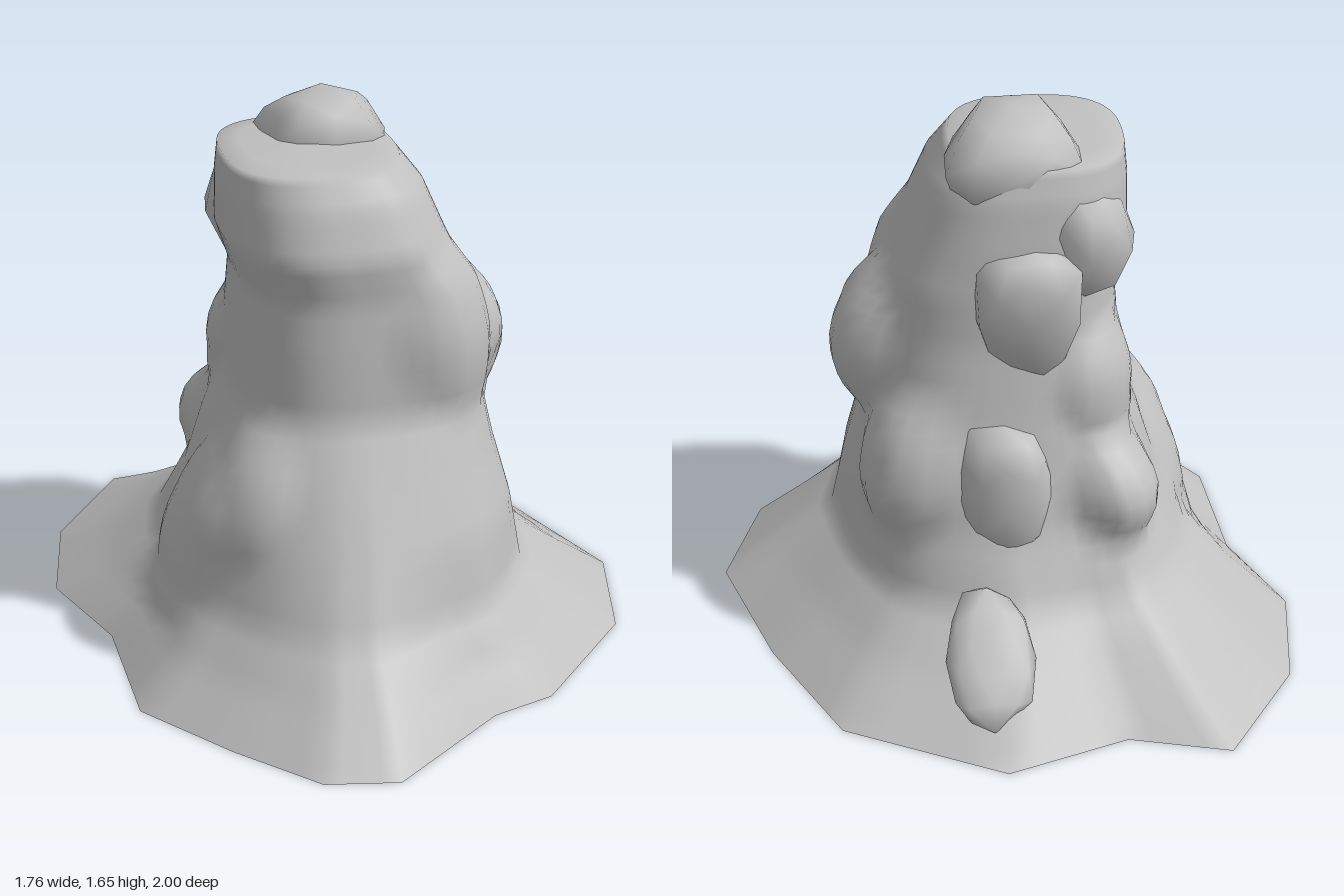
import * as THREE from 'three';
import { mergeVertices } from 'three/addons/utils/BufferGeometryUtils.js';

const stone = new THREE.MeshStandardMaterial({ color: 0xc0c0c0, side: THREE.DoubleSide });
stone.name = 'grey stone';

// Ground outline as x, z pairs
const OUTLINE = [
  [0.05, -1], [0.51, -0.78], [0.72, -0.4], [0.88, 0.03], [0.78, 0.39], [0.45, 0.71],
  [0.26, 0.76], [-0.09, 0.995], [-0.3, 0.95], [-0.51, 0.74], [-0.73, 0.48], [-0.75, 0.06],
  [-0.88, -0.26], [-0.82, -0.62], [-0.59, -0.95], [-0.3, -0.88],
];
// Cross-sections: height, x min, x max, z min, z max, share of the ground outline's irregularity
const RINGS = [
  [0, -0.88, 0.88, -1, 0.995, 1],
  [0.12, -0.72, 0.71, -0.8, 0.85, 0.85],
  [0.25, -0.57, 0.53, -0.62, 0.7, 0.5],
  [0.45, -0.48, 0.485, -0.51, 0.585, 0.2],
  [0.63, -0.42, 0.435, -0.46, 0.485, 0.1],
  [0.8, -0.35, 0.4, -0.42, 0.39, 0],
  [1.0, -0.34, 0.37, -0.38, 0.375, 0],
  [1.15, -0.325, 0.34, -0.37, 0.36, 0],
  [1.28, -0.365, 0.28, -0.36, 0.37, 0],
  [1.42, -0.36, 0.22, -0.335, 0.32, 0],
  [1.51, -0.35, 0.15, -0.3, 0.27, 0],
  [1.53, -0.1, -0.1, -0.05, -0.05, 0],
];
// Swellings of the column: x, y, z, width radius, height radius, push outwards
const BULGES = [
  [0.5, 0.93, -0.06, 0.27, 0.27, 0.16], // left shoulder
  [0.38, 0.64, -0.43, 0.25, 0.24, 0.1], // back left shoulder
  [0.33, 1.03, 0.3, 0.28, 0.27, 0.06], // front left slab
  [-0.52, 0.4, 0.13, 0.24, 0.3, 0.09], // right shoulder
  [-0.4, 0.6, 0.32, 0.2, 0.24, 0.06], // front right shoulder
  [-0.38, 0.58, -0.46, 0.21, 0.2, 0.15], // back right foot
  [-0.31, 0.86, -0.31, 0.2, 0.18, 0.07], // back right shoulder
];
const STEPS = 4; // subdivisions between cross-sections and outline corners

const mix = (a, b, t) => a.map((v, k) => v + (b[k] - v) * t);

function ringPoint([y, x0, x1, z0, z1, wild], [bx, bz]) {
  const a = Math.atan2(bz / 0.995, bx / 0.88);
  const c = Math.cos(a), s = Math.sin(a);
  const power = 2 + 0.7 * (1 - wild); // upper sections are squarer
  const square = Math.pow(Math.abs(c) ** power + Math.abs(s) ** power, -1 / power);
  const ground = Math.hypot(bx / 0.88, bz / 0.995);
  const r = square + wild * (ground - square);
  return [(x0 + x1) / 2 + c * r * (x1 - x0) / 2, y, (z0 + z1) / 2 + s * r * (z1 - z0) / 2];
}

function bulge([x, y, z]) {
  let push = 0;
  for (const [bx, by, bz, r, ry, amount] of BULGES) {
    const d2 = ((x - bx) ** 2 + (z - bz) ** 2) / r ** 2 + ((y - by) / ry) ** 2;
    push += amount * Math.max(0, 1 - d2);
  }
  const length = Math.hypot(x, z) || 1;
  return [x * (1 + push / length), y, z * (1 + push / length)];
}

// Flared column with a flat summit, open underneath
function column() {
  const n = OUTLINE.length * STEPS, rows = (RINGS.length - 1) * STEPS;
  const points = [], index = [];
  for (let r = 0; r <= rows; r++) {
    const k = Math.min(Math.floor(r / STEPS), RINGS.length - 2);
    const ring = mix(RINGS[k], RINGS[k + 1], r / STEPS - k);
    for (let i = 0; i < n; i++) {
      const j = Math.floor(i / STEPS);
      const corner = mix(OUTLINE[j], OUTLINE[(j + 1) % OUTLINE.length], i / STEPS - j);
      points.push(...bulge(ringPoint(ring, corner)));
      const a = r * n + i, b = r * n + (i + 1) % n;
      if (r < rows) index.push(a, a + n, b, b, a + n, b + n);
    }
  }
  const g = new THREE.BufferGeometry();
  g.setAttribute('position', new THREE.Float32BufferAttribute(points, 3));
  g.setIndex(index);
  g.computeVertexNormals();
  const m = new THREE.Mesh(g, stone);
  m.name = 'column';
  return m;
}

// Rock fitted to a box: taper narrows its foot, slope tilts it along z, seed varies its bumps
function rock(name, min, max, taper, slope, seed) {
  let g = new THREE.IcosahedronGeometry(1, 1);
  g.deleteAttribute('normal');
  g.deleteAttribute('uv');
  g = mergeVertices(g, 1e-3);
  const p = g.attributes.position;
  const box = (v) => Math.sign(v) * Math.abs(v) ** 0.8;
  for (let i = 0; i < p.count; i++) {
    const x = p.getX(i), y = p.getY(i), z = p.getZ(i);
    const n = 1 + 0.12 * Math.sin(3.1 * x + seed * 1.7) * Math.cos(2.7 * z - seed)
      + 0.08 * Math.sin(4 * y + seed * 2.3);
    const t = 1 - taper * Math.max(0, -y);
    p.setXYZ(i, box(x) * n * t, box(y) * n, box(z) * n * t);
  }
  g.computeBoundingBox();
  const size = g.boundingBox.getSize(new THREE.Vector3());
  const mid = g.boundingBox.getCenter(new THREE.Vector3());
  g.translate(-mid.x, -mid.y, -mid.z);
  g.scale(...[0, 1, 2].map((k) => (max[k] - min[k]) / size.getComponent(k)));
  for (let i = 0; i < p.count; i++) p.setY(i, p.getY(i) + slope * p.getZ(i));
  g.translate(...[0, 1, 2].map((k) => (max[k] + min[k]) / 2));
  g.computeVertexNormals();
  const m = new THREE.Mesh(g, stone);
  m.name = name;
  return m;
}

export function createModel() {
  const group = new THREE.Group();
  group.name = 'rockSpire';
  group.add(column());

  // Boulders set into the column
  const rocks = [
    ['capRock', [-0.22, 1.36, -0.32], [0.17, 1.65, 0.05], 0, 0.1, 1],
    ['backRockLow', [-0.05, 0.12, -0.9], [0.21, 0.25, -0.55], 0.1, 0.72, 6],
    ['backRockMiddle', [-0.13, 0.37, -0.54], [0.17, 0.78, -0.32], 0.3, 0.15, 7],
    ['backRockHigh', [-0.2, 0.86, -0.45], [0.1, 1.3, -0.2], 0.4, 0, 8],
    ['backRightRockHigh', [-0.37, 1.08, -0.41], [-0.08, 1.46, 0.03], 0.3, 0, 9],
  ];
  for (const r of rocks) group.add(rock(...r));
  return group;
}
